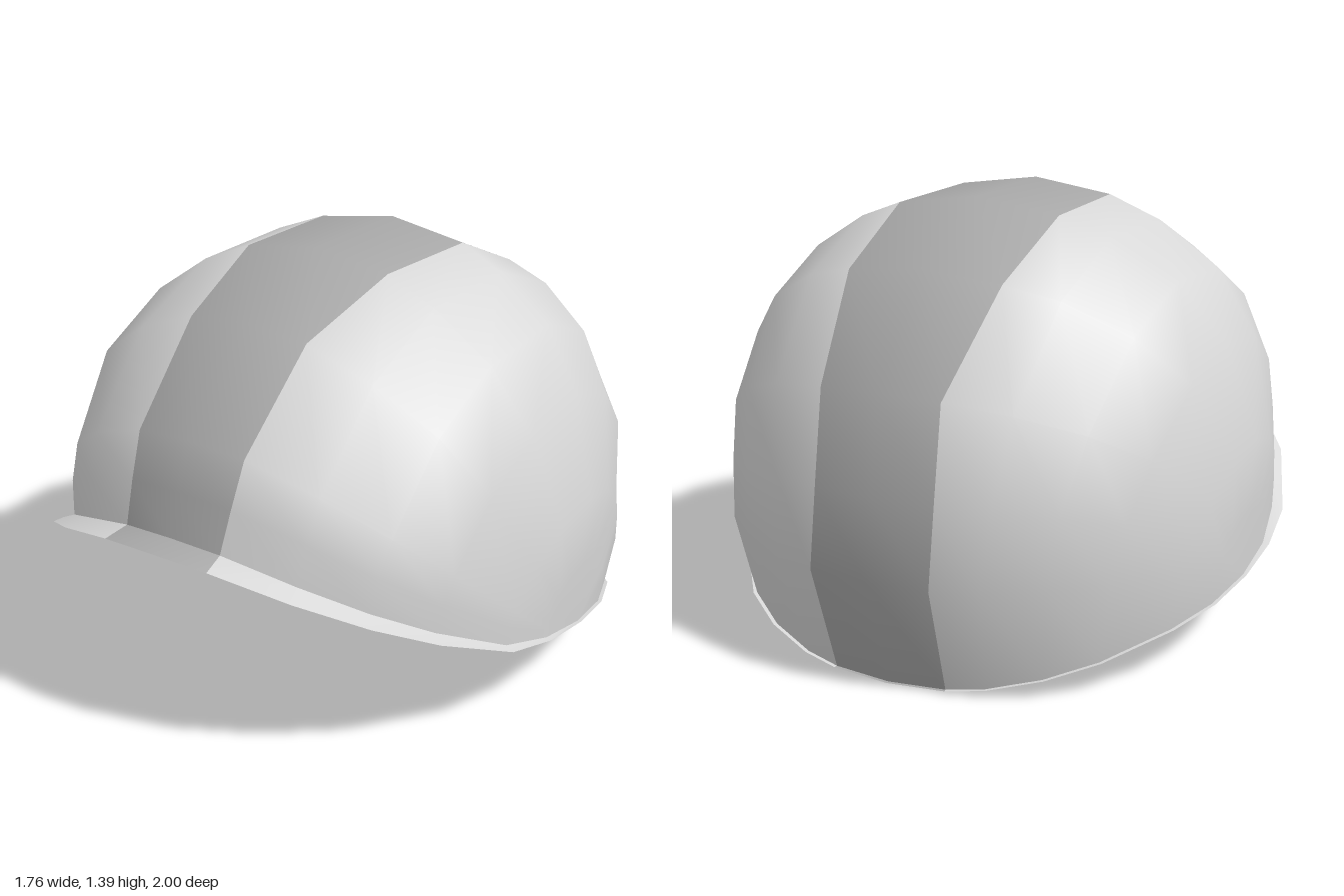
import * as THREE from 'three';
import { mergeVertices } from 'three/addons/utils/BufferGeometryUtils.js';

const RAD = Math.PI / 180;
const CY = 0.22, CZ = -0.1; // axis through both sides of the shell

// piecewise linear lookup, points sorted by first value
function lookup(points, v) {
  if (v <= points[0][0]) return points[0][1];
  for (let i = 1; i < points.length; i++) {
    const [a, fa] = points[i - 1], [b, fb] = points[i];
    if (v <= b) return fa + (fb - fa) * (v - a) / (b - a);
  }
  return points[points.length - 1][1];
}

// half width, front depth and back depth of the dome by height
const WIDTH = [[0, 0.8], [0.23, 0.86], [0.67, 0.88], [0.99, 0.79], [1.17, 0.66], [1.35, 0.39], [1.4, 0.2]];
const FRONT = [[0.2, 0.95], [0.7, 0.91], [0.97, 0.81], [1.26, 0.52], [1.4, 0.16]];
const BACK = [[0, 0.88], [0.37, 1], [0.92, 0.91], [1.24, 0.64], [1.4, 0.28]];
// height of the opening's edge by z
const RIM = [[-0.88, 0.005], [-0.73, 0.09], [-0.52, 0.16], [-0.16, 0.215], [0, 0.225],
  [0.35, 0.32], [0.64, 0.48], [0.8, 0.585], [0.91, 0.69]];
// arc angle from front to back, and stripe half width there
const ROWS = [[25, 0.18], [32, 0.19], [39.5, 0.2], [59, 0.22], [77.6, 0.27], [98.7, 0.28],
  [118, 0.26], [139, 0.2], [155, 0.2], [170.5, 0.2], [195.4, 0.19]];
// angles of the columns outside the stripe, measured from the side axis
const SIDES = [0, 14, 27, 44, 56, 68];

function inside(p) {
  if (p.y > 1.4) return false;
  const z = p.z + 0.06;
  const depth = z > 0 ? lookup(FRONT, p.y) + 0.06 : lookup(BACK, p.y) - 0.06;
  return (Math.abs(p.x) / lookup(WIDTH, p.y)) ** 2.2 + (Math.abs(z) / depth) ** 2.2 < 1;
}

// point where a ray leaves the dome
function hit(x, dir) {
  const origin = new THREE.Vector3(x, CY, CZ), p = new THREE.Vector3();
  let lo = 0, hi = 2;
  for (let k = 0; k < 30; k++) {
    const mid = (lo + hi) / 2;
    p.copy(origin).addScaledVector(dir, mid);
    if (inside(p)) lo = mid; else hi = mid;
  }
  return p;
}

// a column is { side, angle } outside the stripe, or { stripe: -1 | 0 | 1 }
function domePoint(col, phi, halfWidth) {
  const s = Math.sin(phi * RAD), c = Math.cos(phi * RAD);
  if (col.stripe !== undefined) return hit(col.stripe * halfWidth, new THREE.Vector3(0, s, c));
  const a = col.angle * RAD;
  return hit(0, new THREE.Vector3(col.side * Math.cos(a), s * Math.sin(a), c * Math.sin(a)));
}

// angle at which a column meets the rim
function rimAngle(col, above, below, halfWidth) {
  for (let k = 0; k < 30; k++) {
    const mid = (above + below) / 2, p = domePoint(col, mid, halfWidth);
    if (p.y > lookup(RIM, p.z)) above = mid; else below = mid;
  }
  return above;
}

// surface through columns of points, with the two middle strips in the stripe colour
function surface(columns, flip, materials) {
  const n = columns[0].length, pos = [], index = [];
  const geometry = new THREE.BufferGeometry();
  columns.forEach(col => col.forEach(p => pos.push(p.x, p.y, p.z)));
  const mid = (columns.length - 1) / 2;
  for (let i = 0; i < columns.length - 1; i++) {
    const start = index.length;
    for (let j = 0; j < n - 1; j++) {
      const a = i * n + j, b = a + n, c = a + 1, d = b + 1;
      if (flip) index.push(a, c, b, b, c, d);
      else index.push(a, b, c, b, d, c);
    }
    geometry.addGroup(start, index.length - start, i === mid - 1 || i === mid ? 1 : 0);
  }
  geometry.setAttribute('position', new THREE.Float32BufferAttribute(pos, 3));
  geometry.setIndex(index);
  const merged = mergeVertices(geometry, 1e-4);
  merged.computeVertexNormals();
  return new THREE.Mesh(merged, materials);
}

export function createModel() {
  const group = new THREE.Group();
  group.name = 'helmet';
  const shell = new THREE.MeshStandardMaterial({ color: 0xd8d8d8, side: THREE.DoubleSide });
  shell.name = 'light grey shell';
  const stripe = new THREE.MeshStandardMaterial({ color: 0xa9a9a9, side: THREE.DoubleSide });
  stripe.name = 'grey stripe';
  const materials = [shell, stripe];

  const columns = [
    ...SIDES.map(angle => ({ side: -1, angle })),
    { stripe: -1 }, { stripe: 0 }, { stripe: 1 },
    ...SIDES.slice().reverse().map(angle => ({ side: 1, angle })),
  ];

  // domed shell, each column arching from the front rim to the back rim
  const last = ROWS.length - 1;
  const points = columns.map(col => {
    const from = rimAngle(col, 90, -10, ROWS[0][1]);
    const to = rimAngle(col, 120, 225, ROWS[last][1]);
    return ROWS.map(([angle, w]) => {
      const t = (angle - ROWS[0][0]) / (ROWS[last][0] - ROWS[0][0]);
      return domePoint(col, from + (to - from) * t, w);
    });
  });
  const dome = surface(points, false, materials);
  dome.name = 'dome';
  group.add(dome);

  // flared lip: upper face and underside, deepest at the front
  const lip = p => {
    const out = new THREE.Vector3(p.x, 0, p.z + 0.06).normalize();
    const f = Math.max(0, p.z);
    const edge = p.clone().addScaledVector(out, 0.012 + 0.08 * f);
    edge.y -= 0.02 * f;
    const inner = p.clone().addScaledVector(out, -0.03);
    inner.y -= 0.03 * f;
    return { edge, inner };
  };
  for (const [name, row] of [['front', 0], ['back', last]]) {
    const upper = surface(points.map(c => [c[row], lip(c[row]).edge]), row === 0, materials);
    upper.name = name + 'LipTop';
    const lower = surface(points.map(c => [lip(c[row]).edge, lip(c[row]).inner]), row === 0, materials);
    lower.name = name + 'LipUnderside';
    group.add(upper, lower);
  }
  return group;
}
